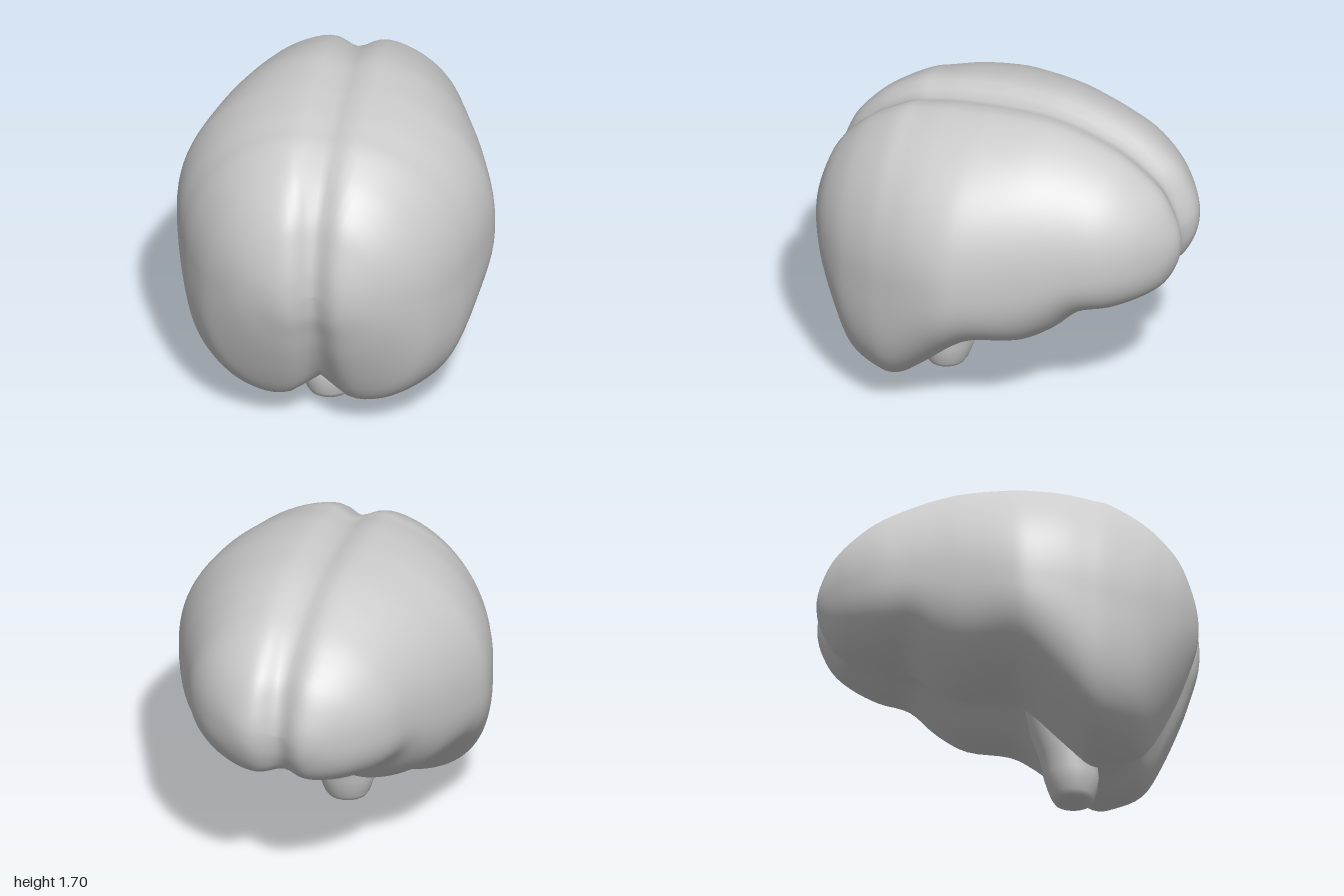
import * as THREE from 'three';
import { mergeVertices } from 'three/addons/utils/BufferGeometryUtils.js';

// Cross-sections, front to back: z, half width, top, bottom, widest height,
// midline hollow below, squareness of the lower half
const STATIONS = [
  [1.02, 0, 0.93, 0.93, 0.93, 0, 2.1],
  [1.014, 0.1, 1.0, 0.86, 0.93, 0, 2.1],
  [0.999, 0.2, 1.09, 0.77, 0.93, 0, 2.1],
  [0.962, 0.31, 1.21, 0.66, 0.93, 0.01, 2.2],
  [0.9, 0.43, 1.35, 0.49, 0.92, 0.03, 2.3],
  [0.8, 0.55, 1.47, 0.28, 0.9, 0.06, 2.5],
  [0.7, 0.635, 1.555, 0.15, 0.88, 0.07, 2.8],
  [0.55, 0.72, 1.64, 0.115, 0.9, 0.06, 3.1],
  [0.44, 0.765, 1.665, 0.12, 0.92, 0.06, 3.1],
  [0.3, 0.81, 1.69, 0.225, 0.95, 0.1, 2.9],
  [0.13, 0.84, 1.705, 0.38, 0.95, 0.15, 2.7],
  [0, 0.82, 1.71, 0.445, 0.97, 0.17, 2.6],
  [-0.22, 0.745, 1.705, 0.445, 1.0, 0.17, 2.5],
  [-0.38, 0.68, 1.675, 0.525, 1.02, 0.13, 2.4],
  [-0.52, 0.62, 1.63, 0.655, 1.05, 0.06, 2.4],
  [-0.68, 0.55, 1.56, 0.69, 1.07, 0.03, 2.4],
  [-0.82, 0.445, 1.46, 0.745, 1.08, 0.02, 2.4],
  [-0.92, 0.325, 1.36, 0.81, 1.08, 0.01, 2.3],
  [-0.985, 0.215, 1.23, 0.92, 1.08, 0, 2.2],
  [-1.012, 0.11, 1.14, 1.01, 1.08, 0, 2.1],
  [-1.02, 0, 1.08, 1.08, 1.08, 0, 2.1],
];

// Smooth interpolation through the stations, t from 0 to 1
function section(t) {
  const last = STATIONS.length - 1;
  const i = Math.min(Math.floor(t * last), last - 1);
  const f = t * last - i;
  const at = (k) => STATIONS[Math.max(0, Math.min(last, k))];
  return STATIONS[i].map((_, c) => {
    const [a, b, d, e] = [at(i - 1)[c], at(i)[c], at(i + 1)[c], at(i + 2)[c]];
    const m0 = (d - a) / 2, m1 = (e - b) / 2;
    return b + f * (m0 + f * (3 * (d - b) - 2 * m0 - m1 + f * (2 * (b - d) + m0 + m1)));
  });
}

function cerebrumGeometry(rings = 80, sides = 96) {
  const position = [], index = [];
  for (let i = 0; i <= rings; i++) {
    const [z, halfWidth, top, bottom, mid, hollow, squareness] = section(i / rings);
    for (let j = 0; j < sides; j++) {
      const angle = (j / sides) * Math.PI * 2;
      const c = Math.cos(angle), s = Math.sin(angle);
      const power = 2 / (s < 0 ? squareness : 2.12);
      const x = halfWidth * Math.sign(c) * Math.abs(c) ** power;
      let y = mid + (s < 0 ? mid - bottom : top - mid) * Math.sign(s) * Math.abs(s) ** power;
      // hollow between the lobes underneath
      if (s < 0) y += hollow * s * s * Math.exp(-((x / 0.17) ** 2));
      // groove between the two halves, pulled towards the centre
      const pull = 0.075 * Math.exp(-((x / 0.09) ** 2));
      position.push(x, y + (0.97 - y) * pull, z * (1 - pull));

      if (i < rings) {
        const a = i * sides + j, b = i * sides + ((j + 1) % sides);
        index.push(a, a + sides, b, b, a + sides, b + sides);
      }
    }
  }
  let geometry = new THREE.BufferGeometry();
  geometry.setAttribute('position', new THREE.Float32BufferAttribute(position, 3));
  geometry.setIndex(index);
  geometry = mergeVertices(geometry, 1e-5);
  geometry.computeVertexNormals();
  return geometry;
}

// Short rounded stem that leans back as it rises into the underside
function stemGeometry() {
  const profile = [[0, 0], [0.07, 0.001], [0.1, 0.01], [0.115, 0.035], [0.132, 0.09],
    [0.145, 0.15], [0.15, 0.26], [0.17, 0.42], [0.15, 0.6]];
  const geometry = new THREE.LatheGeometry(profile.map(([r, y]) => new THREE.Vector2(r, y)), 32);
  const p = geometry.attributes.position;
  for (let i = 0; i < p.count; i++) {
    const y = p.getY(i);
    p.setXYZ(i, p.getX(i) * 1.06, y, p.getZ(i) + 0.345 - 0.04 * y - 0.25 * y * y);
  }
  geometry.deleteAttribute('uv');
  geometry.deleteAttribute('normal');
  const merged = mergeVertices(geometry, 1e-5);
  merged.computeVertexNormals();
  return merged;
}

export function createModel() {
  const group = new THREE.Group();
  group.name = 'brain';
  const material = new THREE.MeshStandardMaterial({ color: 0xcccccc });
  const add = (name, geometry) => {
    const mesh = new THREE.Mesh(geometry, material);
    mesh.name = name;
    group.add(mesh);
  };
  add('cerebrum', cerebrumGeometry());
  add('brainStem', stemGeometry());
  return group;
}
